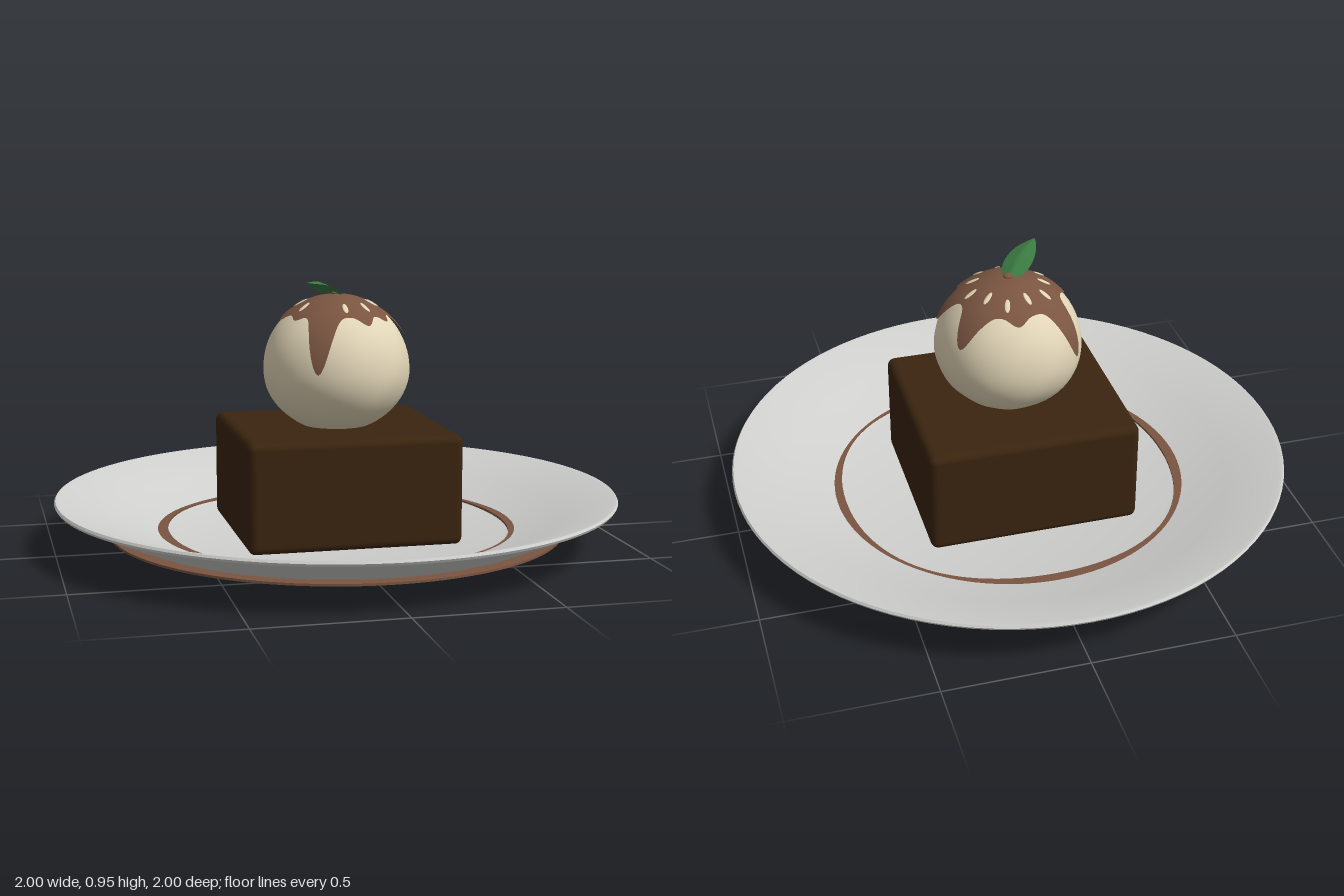
import * as THREE from 'three';
import { toCreasedNormals } from 'three/addons/utils/BufferGeometryUtils.js';
import { RoundedBoxGeometry } from 'three/addons/geometries/RoundedBoxGeometry.js';
import { ParametricGeometry } from 'three/addons/geometries/ParametricGeometry.js';

const material = (name, color, side = THREE.FrontSide) => {
  const m = new THREE.MeshStandardMaterial({ color, side });
  m.name = name;
  return m;
};
const RAD = Math.PI / 180;
const BALL_Y = 0.63;

export function createModel() {
  const china = material('white china', 0xd0d0ce);
  const chocolate = material('dark chocolate', 0x3a240f);
  const cream = material('vanilla cream', 0xe2d6b8);
  const sauce = material('chocolate sauce', 0x7a5541, THREE.DoubleSide);
  const mint = material('mint green', 0x3a7a42, THREE.DoubleSide);

  const model = new THREE.Group();
  model.name = 'dessert';
  const add = (name, geometry, mat, parent = model) => {
    const mesh = new THREE.Mesh(geometry, mat);
    mesh.name = name;
    parent.add(mesh);
    return mesh;
  };

  // Plate: underside, rim, then the inner slope and flat floor
  const profile = [
    [0, 0], [0.62, 0], [0.635, 0.007], [0.995, 0.165], [1, 0.174], [0.995, 0.182],
    [0.98, 0.18], [0.8, 0.115], [0.635, 0.06], [0.6, 0.05], [0, 0.05],
  ].map(([x, y]) => new THREE.Vector2(x, y));
  add('plate', toCreasedNormals(new THREE.LatheGeometry(profile, 96), 0.35), china);

  // Sauce ring: flat band with a wavy inner edge, passing through the plate wall
  const band = new THREE.Shape().absarc(0, 0, 0.81, 0, Math.PI * 2);
  const wavy = [];
  for (let i = 0; i < 96; i++) {
    const a = (i / 96) * Math.PI * 2;
    const r = 0.614 - 0.01 * Math.cos(4 * a) + 0.004 * Math.cos(a + 0.6);
    wavy.push(new THREE.Vector2(r * Math.cos(a), r * Math.sin(a)));
  }
  band.holes.push(new THREE.Path(wavy));
  const ring = new THREE.ExtrudeGeometry(band, { depth: 0.008, bevelEnabled: false, curveSegments: 64 });
  add('sauceRing', ring.rotateX(-Math.PI / 2).translate(0, 0.053, 0), sauce);

  // Cake block
  add('cake', new RoundedBoxGeometry(0.75, 0.385, 0.7, 4, 0.028), chocolate)
    .position.set(-0.004, 0.2375, -0.005);

  // Ice cream scoop: sphere, flatter underneath, with gentle lumps
  const ball = new THREE.SphereGeometry(0.259, 64, 40);
  const pos = ball.attributes.position;
  const p = new THREE.Vector3();
  for (let i = 0; i < pos.count; i++) {
    p.fromBufferAttribute(pos, i);
    const a = Math.atan2(p.z, p.x);
    const flat = Math.hypot(p.x, p.z) / 0.259;
    p.multiplyScalar(1 + 0.008 * flat * Math.sin(7 * a + 9 * p.y) * Math.cos(14 * p.y + 2 * a));
    if (p.y < 0) p.y *= 0.87;
    pos.setXYZ(i, p.x, p.y, p.z);
  }
  ball.computeVertexNormals();
  add('iceCream', ball, cream).position.y = BALL_Y;

  // Sauce cap: dome whose rim runs down into drips [direction, extra reach, width] in degrees
  const drips = [
    [116, 46, 11], [225, 43, 11], [11, 25, 10], [-35, 29, 11],
    [70, 9, 9], [275, 7, 10], [180, 7, 10], [42, 7, 8], [150, 5, 8], [310, 4, 8],
  ];
  const BASE = 42;
  const reach = (deg) => drips.reduce((sum, [at, extra, width]) => {
    const d = ((deg - at + 540) % 360) - 180;
    return sum + extra * Math.exp(-((d / width) ** 2));
  }, BASE);
  const cap = new ParametricGeometry((u, v, target) => {
    const deg = u * 360;
    const t = THREE.MathUtils.lerp(0.5, reach(deg), v);
    const r = 0.2635 + 0.012 * Math.max(0, (t - 34) / 54);
    target.setFromSphericalCoords(r, t * RAD, Math.PI / 2 - deg * RAD);
  }, 180, 24);
  add('sauceCap', cap, sauce).position.y = BALL_Y;

  // Cream flecks fanned around the cap, leaving room for the leaf
  const flecks = new THREE.Group();
  flecks.name = 'creamFlecks';
  flecks.position.y = BALL_Y;
  model.add(flecks);
  for (let i = 0; i < 11; i++) {
    const at = 90 + i * (360 / 11);
    if (i === 1) continue;
    const fleck = new THREE.SphereGeometry(1, 12, 8).scale(0.0095, 0.003, 0.027)
      .translate(0, 0.2645, 0).rotateX((i % 2 ? 28 : 32) * RAD);
    add('creamFleck', fleck, cream, flecks).rotation.y = (90 - at) * RAD;
  }

  // Little knob of sauce at the crown
  add('sauceKnob', new THREE.SphereGeometry(0.018, 16, 10).scale(1, 0.5, 1), sauce)
    .position.set(0, 0.895, 0);

  // Mint leaf: arched spine with a pointed oval outline and drooping edges
  const spine = new THREE.CatmullRomCurve3([
    new THREE.Vector3(0.005, 0.888, -0.012), new THREE.Vector3(-0.035, 0.92, 0.035),
    new THREE.Vector3(-0.085, 0.945, 0.09), new THREE.Vector3(-0.138, 0.947, 0.15),
  ]);
  const leaf = new ParametricGeometry((u, v, target) => {
    const s = v * 2 - 1;
    const w = 0.05 * Math.pow(Math.sin(Math.PI * Math.pow(u, 0.85)), 0.8) * s;
    target.copy(spine.getPoint(u));
    target.x += 0.74 * w;
    target.z += 0.67 * w;
    target.y -= 0.3 * Math.abs(w);
  }, 24, 10);
  leaf.computeVertexNormals();
  add('mintLeaf', leaf, mint);

  return model;
}
